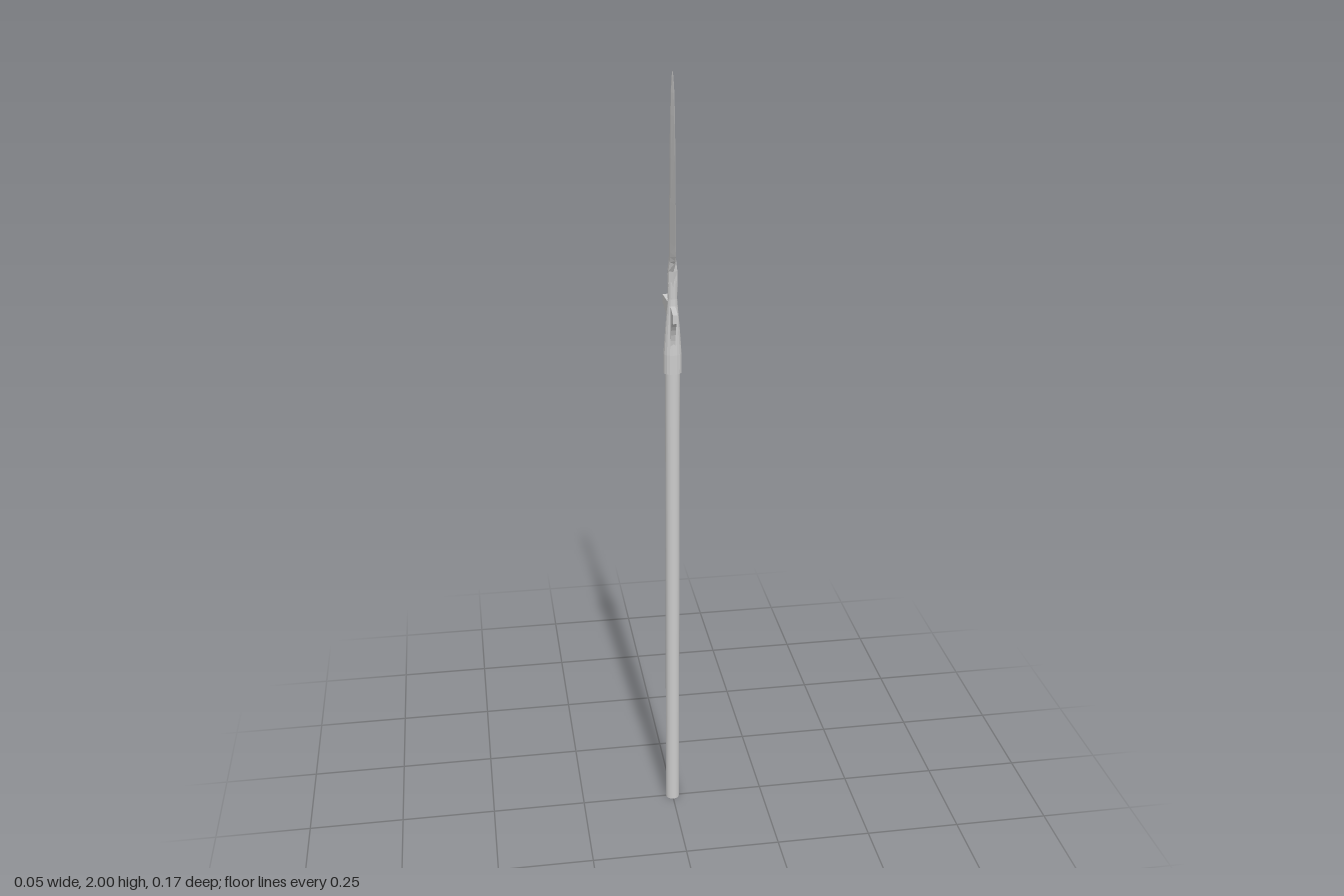
import * as THREE from 'three';

const material = new THREE.MeshStandardMaterial({ color: 0xcccccc, flatShading: true });
const smooth = new THREE.MeshStandardMaterial({ color: 0xcccccc });

function add(group, name, geometry, mat = material) {
  const mesh = new THREE.Mesh(geometry, mat);
  mesh.name = name;
  group.add(mesh);
}

// Skin six-sided sections: y, half thickness (x), half width (z), half rib width (z)
function loftBlade(rows) {
  const pos = [], index = [];
  for (const [y, hx, hz, rib] of rows) {
    pos.push(0, y, hz, hx, y, rib, hx, y, -rib, 0, y, -hz, -hx, y, -rib, -hx, y, rib);
  }
  for (let r = 0; r < rows.length - 1; r++) {
    for (let i = 0; i < 6; i++) {
      const a = r * 6 + i, b = r * 6 + (i + 1) % 6;
      index.push(a, b, b + 6, a, b + 6, a + 6);
    }
  }
  const g = new THREE.BufferGeometry();
  g.setAttribute('position', new THREE.Float32BufferAttribute(pos, 3));
  g.setIndex(index);
  g.computeVertexNormals();
  return g;
}

// One lug: flat top, concave underside, tip leaning slightly towards -x
function wingGeometry(side) {
  const shape = new THREE.Shape();
  shape.moveTo(0, 1.443);
  shape.lineTo(0, 1.33);
  shape.lineTo(0.017, 1.34);
  shape.quadraticCurveTo(0.026, 1.418, 0.085, 1.423);
  shape.lineTo(0.085, 1.445);
  shape.lineTo(0.02, 1.443);
  const g = new THREE.ExtrudeGeometry(shape, { depth: 0.012, bevelEnabled: false, curveSegments: 8 });
  g.translate(0, 0, -0.006);
  g.rotateY(-side * Math.PI / 2);
  const p = g.attributes.position;
  for (let i = 0; i < p.count; i++) {
    p.setX(i, p.getX(i) - 0.006 * Math.abs(p.getZ(i)) / 0.085);
  }
  g.computeVertexNormals();
  return g;
}

export function createModel() {
  const group = new THREE.Group();
  group.name = 'spear';

  // Wooden pole
  const shaft = new THREE.CylinderGeometry(0.0185, 0.0185, 1.3, 16);
  shaft.translate(0, 0.65, 0);
  add(group, 'shaft', shaft, smooth);

  // Tapered socket and neck
  const profile = [
    [0, 1.27], [0.0225, 1.27], [0.0225, 1.32], [0.0185, 1.38], [0.014, 1.43],
    [0.0115, 1.46], [0.0125, 1.5], [0.012, 1.52], [0.006, 1.56], [0, 1.57],
  ].map(([r, y]) => new THREE.Vector2(r, y));
  const socket = new THREE.LatheGeometry(profile, 16);
  socket.scale(1, 1, 0.9);
  add(group, 'socket', socket);

  // Pair of lugs below the blade
  add(group, 'leftWing', wingGeometry(1));
  add(group, 'rightWing', wingGeometry(-1));

  // Leaf blade with a raised mid rib
  add(group, 'blade', loftBlade([
    [1.49, 0.011, 0.011, 0.006],
    [1.53, 0.011, 0.015, 0.007],
    [1.553, 0.008, 0.027, 0.008],
    [1.565, 0.0075, 0.046, 0.009],
    [1.578, 0.0075, 0.053, 0.009],
    [1.6, 0.007, 0.049, 0.009],
    [1.7, 0.0065, 0.043, 0.008],
    [1.8, 0.006, 0.036, 0.007],
    [1.9, 0.005, 0.025, 0.005],
    [1.95, 0.004, 0.017, 0.003],
    [1.985, 0.002, 0.008, 0.001],
    [2.0, 0, 0, 0],
  ]));

  return group;
}
